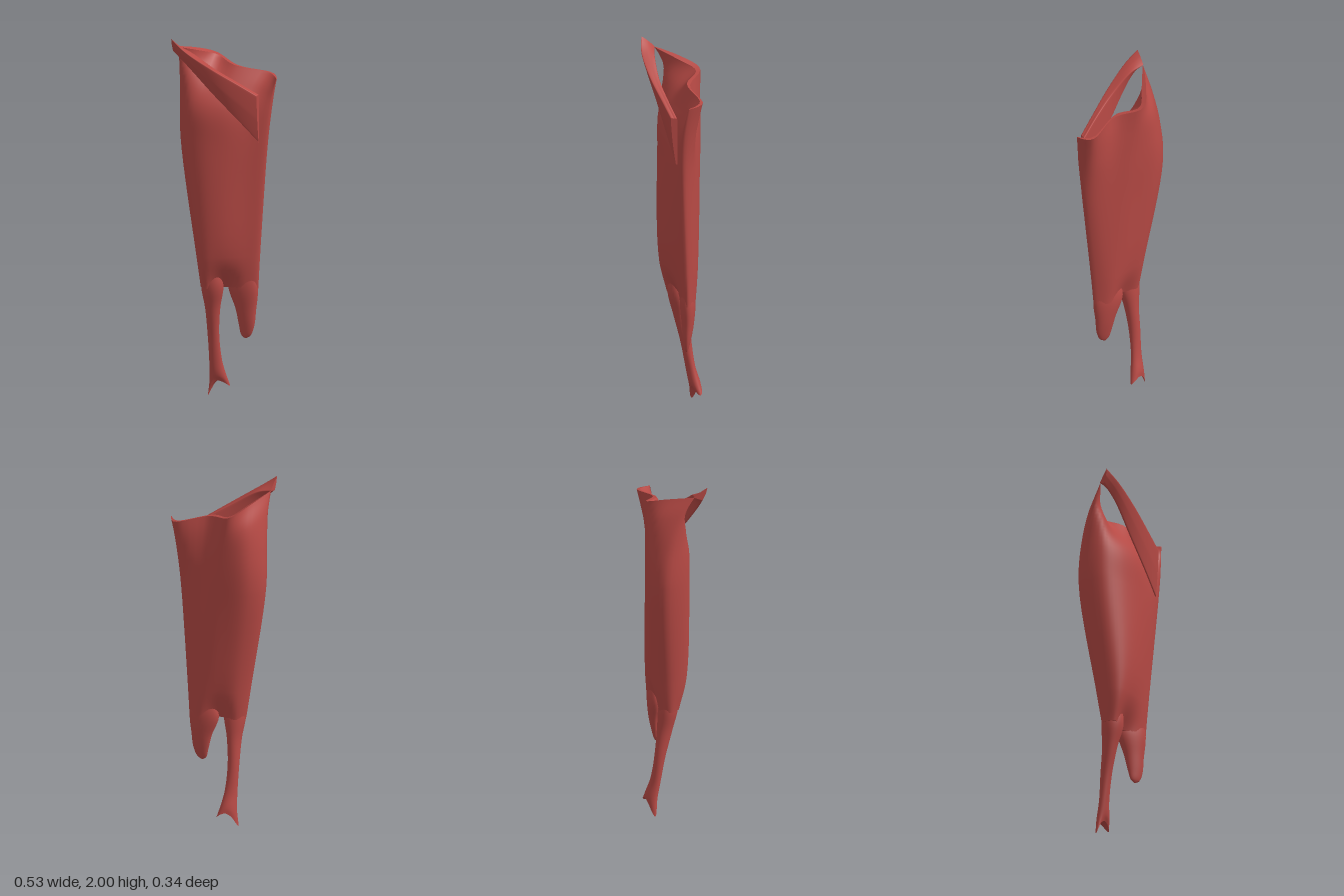
import * as THREE from 'three';

// Skin a stack of key loops (each an array of Vector3) with a smooth surface and zipped end caps.
// Loops run left, front, right, back; keys run from top to bottom.
function loft(keys, { around = 48, along = 40, tension = 0.5 } = {}) {
  const loops = keys.map((pts) => {
    const curve = new THREE.CatmullRomCurve3(pts, true, 'catmullrom', tension);
    return Array.from({ length: around }, (_, i) => curve.getPoint(i / around));
  });
  const rails = loops[0].map((_, i) =>
    new THREE.CatmullRomCurve3(loops.map((l) => l[i]), false, 'centripetal'));
  const pos = [];
  const idx = [];
  for (let r = 0; r <= along; r++) rails.forEach((c) => pos.push(...c.getPoint(r / along).toArray()));
  for (let r = 0; r < along; r++) {
    for (let i = 0; i < around; i++) {
      const a = r * around + i;
      const b = r * around + (i + 1) % around;
      idx.push(a, a + around, b, b, a + around, b + around);
    }
  }
  // caps: join matching front and back points, on their own vertices for a crisp edge
  for (const [row, flip] of [[0, false], [along, true]]) {
    const base = pos.length / 3;
    for (let i = 0; i < around * 3; i++) pos.push(pos[row * around * 3 + i]);
    for (let i = 0; i < around / 2; i++) {
      const q = [i, i + 1, around - i - 1, (around - i) % around].map((n) => base + n);
      for (const t of [[q[0], q[1], q[2]], [q[0], q[2], q[3]]]) {
        if (new Set(t).size === 3) idx.push(...(flip ? t.reverse() : t));
      }
    }
  }
  const g = new THREE.BufferGeometry();
  g.setAttribute('position', new THREE.Float32BufferAttribute(pos, 3));
  g.setIndex(idx);
  g.computeVertexNormals();
  return g;
}

// Oval key loop; fork pulls the two sides down into uneven prongs.
function oval([y, cx, cz, rx, rz, tilt = 0, fork = 0]) {
  return Array.from({ length: 12 }, (_, i) => {
    const a = (i / 12) * Math.PI * 2;
    const c = -Math.cos(a);
    const drop = fork * (c * c * (c < 0 ? 1 : 0.4));
    return new THREE.Vector3(cx + rx * c, y - drop, cz + rz * Math.sin(a) + tilt * c);
  });
}

// Height of the slanting upper rim across the width.
const rim = (x) => (x < -0.07 ? 1.85 - (x + 0.07) * 0.6 : 1.85 - (x + 0.07) * 0.24);

export function createModel() {
  const group = new THREE.Group();
  const muscleRed = new THREE.MeshStandardMaterial({ color: 0xb84a45, side: THREE.DoubleSide });
  muscleRed.name = 'muscleRed';
  const add = (name, geometry) => {
    const mesh = new THREE.Mesh(geometry, muscleRed);
    mesh.name = name;
    group.add(mesh);
  };

  // Belly: [height, rim influence, x/z pairs from left through front, right and back]
  const sections = [
    [1.77, 1, [-0.226, 0.1, -0.155, -0.025, -0.09, -0.125, 0.03, -0.08, 0.19, -0.155,
      0.264, -0.095, 0.2, -0.171, 0.045, -0.097, -0.1, -0.147, -0.173, -0.04]],
    [1.69, 0.75, [-0.24, 0.03, -0.185, 0.045, -0.09, -0.01, 0.02, -0.03, 0.16, -0.09,
      0.252, -0.08, 0.195, -0.152, 0.05, -0.112, -0.085, -0.148, -0.188, -0.1]],
    [1.58, 0.45, [-0.257, -0.025, -0.2, 0.06, -0.1, 0.068, 0.02, 0.035, 0.14, -0.03,
      0.24, -0.065, 0.19, -0.13, 0.06, -0.124, -0.06, -0.147, -0.19, -0.128]],
    [1.4, 0.1, [-0.264, -0.05, -0.2, 0.06, -0.1, 0.08, 0.02, 0.05, 0.14, -0.01,
      0.222, -0.06, 0.18, -0.11, 0.06, -0.132, -0.05, -0.147, -0.19, -0.135]],
    [0.8, 0, [-0.165, -0.03, -0.135, 0.04, -0.08, 0.07, 0.01, 0.035, 0.11, -0.03,
      0.173, -0.08, 0.13, -0.12, 0.06, -0.139, -0.03, -0.126, -0.12, -0.1]],
    [0.62, 0, [-0.138, -0.025, -0.12, 0.012, -0.08, 0.026, -0.012, -0.05, 0.08, -0.046,
      0.159, -0.083, 0.13, -0.115, 0.07, -0.126, -0.012, -0.075, -0.1, -0.076]],
  ];
  add('belly', loft(sections.map(([y, w, p]) =>
    Array.from({ length: 10 }, (_, i) =>
      new THREE.Vector3(p[2 * i], y + w * (rim(p[2 * i]) - 1.77), p[2 * i + 1])))));

  // Long lower tendon ending in a flared fork
  add('tendon', loft([
    [0.76, -0.08, -0.02, 0.045, 0.03],
    [0.63, -0.077, -0.026, 0.061, 0.052],
    [0.5, -0.083, -0.045, 0.04, 0.042],
    [0.35, -0.09, -0.07, 0.031, 0.03],
    [0.2, -0.088, -0.095, 0.032, 0.026, -0.008],
    [0.12, -0.083, -0.116, 0.043, 0.03, -0.012, 0.03],
    [0.09, -0.082, -0.125, 0.053, 0.024, -0.024, 0.085],
  ].map(oval), { around: 36, along: 30 }));

  // Short rounded lobe beside the tendon
  add('lobe', loft([
    [0.76, 0.08, -0.085, 0.05, 0.02],
    [0.63, 0.074, -0.086, 0.085, 0.041],
    [0.5, 0.09, -0.087, 0.058, 0.032],
    [0.41, 0.096, -0.083, 0.043, 0.02],
    [0.36, 0.093, -0.08, 0.026, 0.01],
    [0.345, 0.091, -0.08, 0.006, 0.003],
  ].map(oval), { around: 36, along: 24 }));

  // Diagonal front flap: wedge sections of front ridge, rear ridge and lower edge
  // [x, ridge y, front z, rear y, rear z, lower y, lower z]
  const flap = [
    [-0.228, 2.0, 0.168, 1.945, 0.098, 1.93, 0.14],
    [-0.15, 1.935, 0.165, 1.92, 0.095, 1.85, 0.125],
    [-0.02, 1.84, 0.115, 1.83, 0.065, 1.69, 0.07],
    [0.1, 1.755, 0.05, 1.75, 0.012, 1.55, 0.015],
    [0.19, 1.69, 0.0, 1.685, -0.035, 1.44, -0.03],
  ].map(([x, y1, z1, y2, z2, y3, z3]) => [
    [y1, z1], [(y1 + y2) / 2 + 0.004, (z1 + z2) / 2], [y2, z2],
    [y3, z3 - 0.006], [y3, z3 + 0.004], [(y1 + y3) / 2, (z1 + z3) / 2 + 0.006],
  ].map(([y, z]) => new THREE.Vector3(x, y, z)));
  add('flap', loft(flap, { around: 36, along: 24, tension: 0.15 }));

  return group;
}
